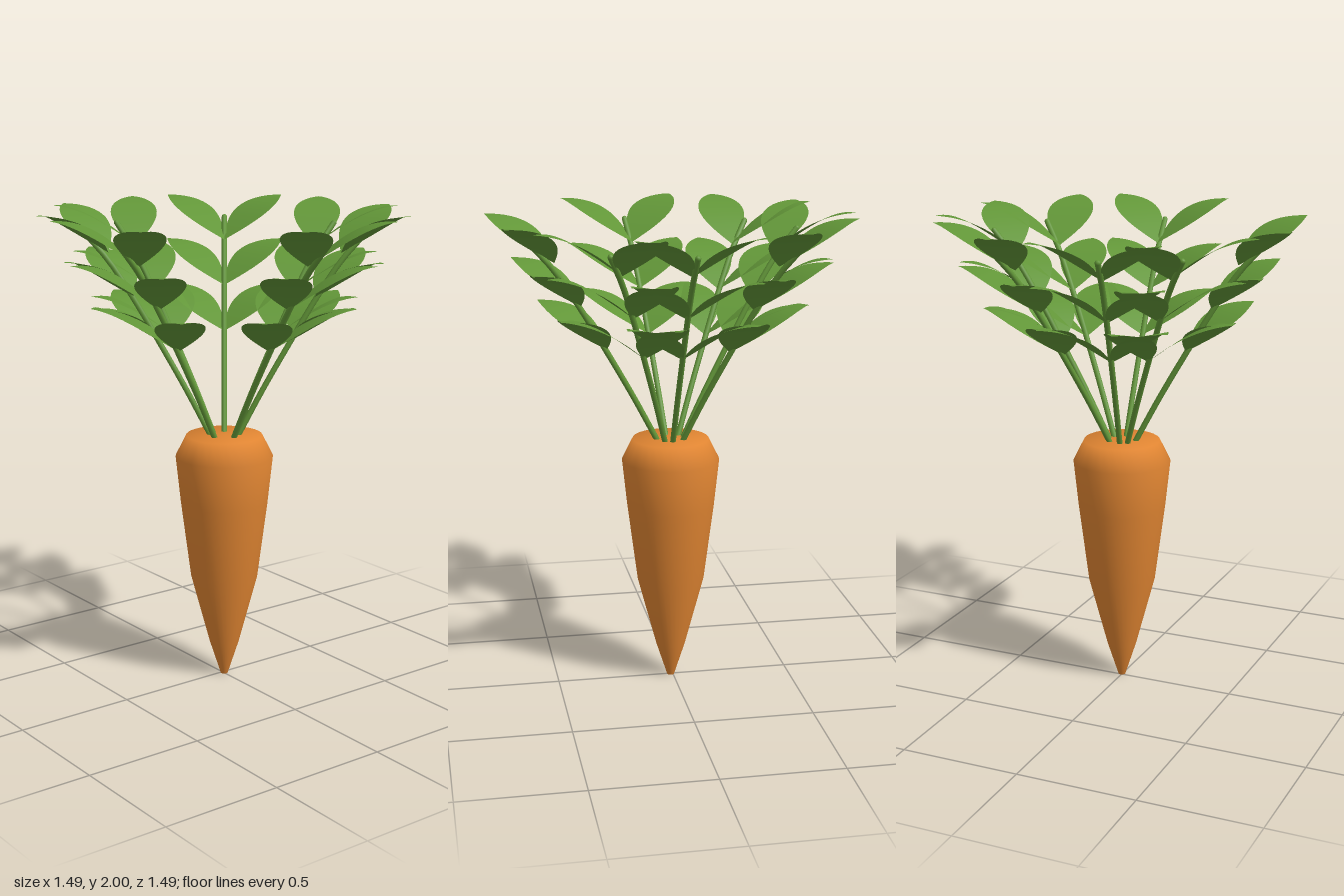
import * as THREE from 'three';

const orange = new THREE.MeshStandardMaterial({ color: 0xe08532 });
orange.name = 'root orange';
const green = new THREE.MeshStandardMaterial({ color: 0x629638, side: THREE.DoubleSide });
green.name = 'leaf green';

// Lens-shaped leaf along +x, flat across and arching up to a level tip
function leafGeometry(length, width, rise) {
  const geo = new THREE.PlaneGeometry(1, 1, 16, 4).rotateX(-Math.PI / 2);
  const p = geo.attributes.position;
  for (let i = 0; i < p.count; i++) {
    const u = p.getX(i) + 0.5;
    const w = Math.max(0.003, width * Math.pow(Math.sin(Math.PI * Math.min(u, 1)), 0.95));
    p.setXYZ(i, u * length, rise * Math.sin(u * Math.PI / 2), p.getZ(i) * w);
  }
  geo.computeVertexNormals();
  return geo;
}

function mesh(name, geo, mat, parent) {
  const m = new THREE.Mesh(geo, mat);
  m.name = name;
  parent.add(m);
  return m;
}

export function createModel() {
  const model = new THREE.Group();
  model.name = 'carrot';
  const plant = new THREE.Group();
  plant.name = 'plant';
  plant.position.set(0.003, 0, 0.01);
  model.add(plant);

  // Tapered root with a bevelled shoulder
  const profile = [
    [0, 0], [0.015, 0], [0.063, 0.15], [0.142, 0.45], [0.184, 0.78], [0.205, 0.98], [0.16, 1.07], [0, 1.07],
  ].map(([r, y]) => new THREE.Vector2(r, y));
  mesh('root', new THREE.LatheGeometry(profile, 32), orange, plant);

  // Shared stem and leaf shapes, built outward along +x
  const stemPath = new THREE.CatmullRomCurve3([
    [0.05, 1.05], [0.16, 1.26], [0.27, 1.455], [0.375, 1.635], [0.48, 1.795], [0.585, 1.915],
  ].map(([r, y]) => new THREE.Vector3(r, y, 0)));
  const stemGeo = new THREE.TubeGeometry(stemPath, 16, 0.012, 8);
  const capGeo = new THREE.SphereGeometry(0.012, 8, 6);
  const leafGeo = leafGeometry(0.346, 0.2, 0.172);
  const pairs = [[0.27, 1.463], [0.375, 1.645], [0.48, 1.828]];

  // Seven fronds fanned unevenly around the crown
  [0, 32.5, 85, 170, 223.5, 255, 307].forEach((deg) => {
    const frond = new THREE.Group();
    frond.name = 'frond';
    frond.rotation.y = -THREE.MathUtils.degToRad(deg);
    plant.add(frond);
    mesh('stem', stemGeo, green, frond);
    mesh('stemTip', capGeo, green, frond).position.set(0.585, 1.915, 0);
    for (const [r, y] of pairs) {
      for (const side of [-1, 1]) {
        const leaf = mesh(side > 0 ? 'leftLeaf' : 'rightLeaf', leafGeo, green, frond);
        leaf.position.set(r, y, 0);
        leaf.rotation.y = side * THREE.MathUtils.degToRad(47);
      }
    }
  });
  return model;
}
